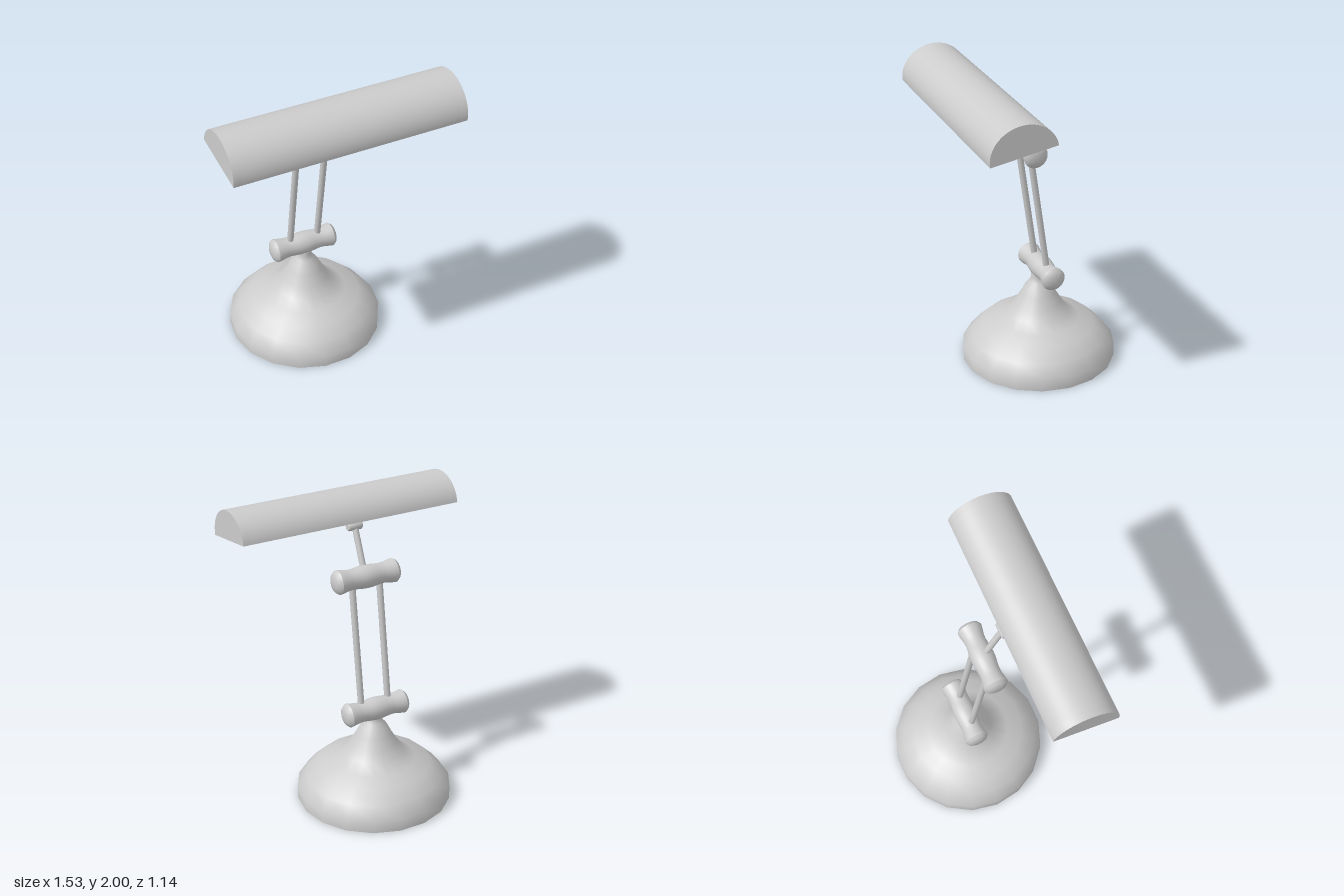
import * as THREE from 'three';
import { toCreasedNormals } from 'three/addons/utils/BufferGeometryUtils.js';

const grey = new THREE.MeshStandardMaterial({ color: 0xcccccc });
const greyDouble = new THREE.MeshStandardMaterial({ color: 0xcccccc, side: THREE.DoubleSide });
const AXIS_X = -0.02;

export function createModel() {
  const model = new THREE.Group();

  const add = (name, geometry, material = grey, parent = model) => {
    const mesh = new THREE.Mesh(geometry, material);
    mesh.name = name;
    parent.add(mesh);
    return mesh;
  };

  const lathe = (points, sides) =>
    new THREE.LatheGeometry(points.map(([r, y]) => new THREE.Vector2(r, y)), sides);

  // Round rod between two points
  const rod = (name, from, to, radius) => {
    const a = new THREE.Vector3(...from), b = new THREE.Vector3(...to);
    const dir = b.clone().sub(a);
    const mesh = add(name, new THREE.CylinderGeometry(radius, radius, dir.length(), 12));
    mesh.position.copy(a).add(b).multiplyScalar(0.5);
    mesh.quaternion.setFromUnitVectors(new THREE.Vector3(0, 1, 0), dir.normalize());
  };

  // Hollow bell-shaped base, open underneath
  const bell = lathe([
    [0.51, 0], [0.51, 0.085], [0.45, 0.16], [0.372, 0.235], [0.275, 0.27], [0.2, 0.325],
    [0.155, 0.39], [0.115, 0.455], [0.09, 0.505], [0.06, 0.54], [0.048, 0.57], [0.045, 0.62],
  ], 18);
  bell.rotateY(Math.PI / 18 * 9);
  add('base', bell, greyDouble).position.set(AXIS_X, 0, -0.07);

  // Waisted cross-bar knuckles with gently domed ends
  const half = [[0, 0.234], [0.04, 0.229], [0.064, 0.219], [0.079, 0.2], [0.074, 0.17],
    [0.067, 0.135], [0.065, 0.105], [0.07, 0.06], [0.074, 0.03]];
  const profile = [
    ...half.map(([r, y]) => [r, -y]), [0.075, 0], ...half.slice().reverse(),
  ];
  const knuckleGeometry = toCreasedNormals(lathe(profile, 24).rotateZ(Math.PI / 2), 0.6);
  const lowerZ = -0.09, lowerY = 0.64, upperZ = 0.035, upperY = 1.525;
  add('lowerKnuckle', knuckleGeometry).position.set(AXIS_X, lowerY, lowerZ);
  add('upperKnuckle', knuckleGeometry).position.set(AXIS_X, upperY, upperZ);

  // Twin arm rods and the single neck
  for (const [name, x] of [['rightArmRod', -0.115], ['leftArmRod', 0.082]]) {
    rod(name, [x, lowerY, lowerZ], [x, upperY, upperZ], 0.021);
  }
  rod('neckRod', [-0.015, upperY, upperZ], [-0.015, 1.82, 0.165], 0.02);

  // Small pivot behind the shade
  const pivot = lathe([[0, -0.05], [0.022, -0.05], [0.028, -0.042],
    [0.028, 0.042], [0.022, 0.05], [0, 0.05]], 16).rotateZ(Math.PI / 2);
  add('shadePivot', toCreasedNormals(pivot, 0.7)).position.set(-0.012, 1.822, 0.165);

  // Half-round trough shade, tilted forward, with solid end plates
  const shade = new THREE.Group();
  shade.name = 'shade';
  shade.position.set(-0.003, 1.81, 0.355);
  shade.rotation.x = 0.165;
  model.add(shade);

  const length = 1.525, plate = 0.05, wall = 0.04, a = 0.213, h = 0.19;
  const arc = (shape, rx, ry, reverse) => shape.absellipse(0, 0, rx, ry,
    reverse ? Math.PI : 0, reverse ? 0 : Math.PI, reverse, 0);
  const extrudeX = (shape, depth) => {
    const geometry = new THREE.ExtrudeGeometry(shape, { depth, bevelEnabled: false, curveSegments: 20 });
    geometry.translate(0, 0, -depth / 2).rotateY(Math.PI / 2);
    return toCreasedNormals(geometry, 0.6);
  };

  const arch = new THREE.Shape();
  arc(arch, a, h, false);
  arc(arch, a - wall, h - wall, true);
  arch.closePath();
  add('shadeTrough', extrudeX(arch, length - 2 * plate), grey, shade);

  const end = new THREE.Shape();
  arc(end, a, h, false);
  end.closePath();
  for (const [name, side] of [['leftShadeEnd', 1], ['rightShadeEnd', -1]]) {
    add(name, extrudeX(end, plate), grey, shade).position.x = side * (length - plate) / 2;
  }

  return model;
}
